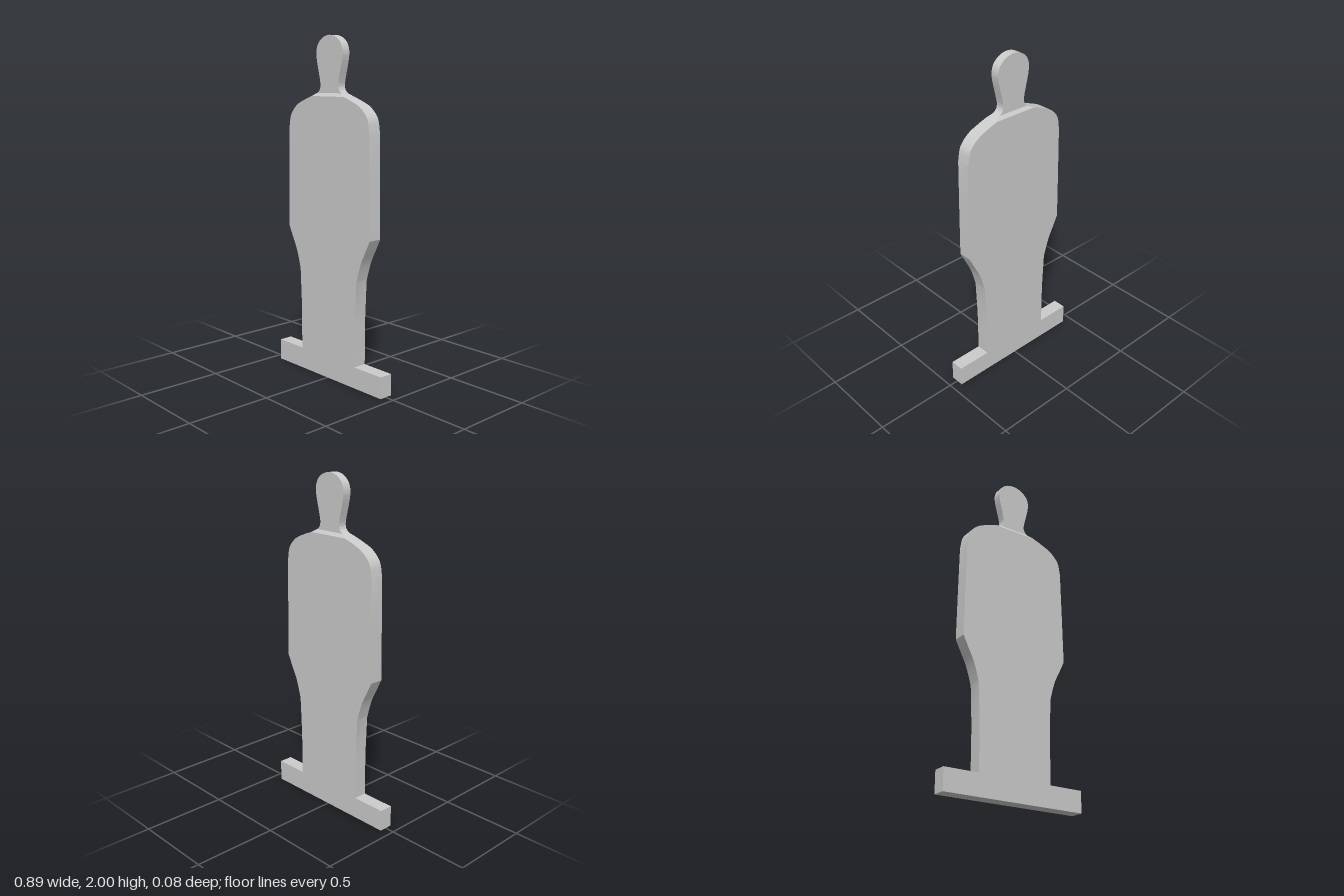
import * as THREE from 'three';
import { toCreasedNormals } from 'three/addons/utils/BufferGeometryUtils.js';

const BODY_DEPTH = 0.041, HEAD_DEPTH = 0.026; // half thicknesses

// Smooth [halfWidth, y] points through the given ones
function smooth(points, count) {
  const curve = new THREE.CatmullRomCurve3(points.map(([x, y]) => new THREE.Vector3(x, y, 0)), false, 'centripetal');
  return curve.getPoints(count).map(p => [Math.max(0, p.x), p.y]);
}

// Stack of rectangles [halfWidth, y, halfDepth], joined by four walls
function loft(name, rows, material, closeBottom = false) {
  const positions = [];
  const corners = ([x, y, z]) => [[x, y, z], [x, y, -z], [-x, y, -z], [-x, y, z]];
  const quad = (a, b, c, d) => positions.push(...a, ...b, ...c, ...a, ...c, ...d);
  for (let i = 0; i < rows.length - 1; i++) {
    const low = corners(rows[i]), high = corners(rows[i + 1]);
    const flatStep = rows[i][1] === rows[i + 1][1];
    for (let k = 0; k < 4; k++) {
      if (flatStep && k % 2 === 1) continue; // no front or back on a ledge
      const n = (k + 1) % 4;
      quad(low[k], low[n], high[n], high[k]);
    }
  }
  if (closeBottom) quad(...corners(rows[0]).reverse());
  const geometry = new THREE.BufferGeometry();
  geometry.setAttribute('position', new THREE.Float32BufferAttribute(positions, 3));
  const mesh = new THREE.Mesh(toCreasedNormals(geometry, 0.4), material);
  mesh.name = name;
  return mesh;
}

export function createModel() {
  const model = new THREE.Group();
  model.name = 'standingFigure';
  const material = new THREE.MeshStandardMaterial({ color: 0xcccccc });
  const withDepth = (points, depth) => points.map(([x, y]) => [x, y, depth]);

  // Foot bar, with ledges running in to the legs
  const base = [[0.443, 0], [0.443, 0.127], [0.232, 0.127]];
  model.add(loft('base', withDepth(base, BODY_DEPTH), material, true));

  // Legs, hips, torso and rounded shoulders
  const body = [
    [0.232, 0.127], [0.233, 0.4],
    ...smooth([[0.243, 0.625], [0.258, 0.68], [0.28, 0.745], [0.315, 0.815], [0.347, 0.88]], 12),
    [0.347, 0.92], [0.343, 1.2],
    ...smooth([[0.338, 1.47], [0.32, 1.55], [0.265, 1.607], [0.2, 1.637], [0.135, 1.66]], 20),
  ];
  model.add(loft('body', withDepth(body, BODY_DEPTH), material));

  // Sloped step from the thick body to the thin head
  model.add(loft('collar', [[0.135, 1.66, BODY_DEPTH], [0.1, 1.679, HEAD_DEPTH]], material));

  // Neck and head
  const head = smooth([
    [0.1, 1.679], [0.082, 1.695], [0.074, 1.72], [0.079, 1.755], [0.095, 1.82], [0.106, 1.87],
    [0.109, 1.91], [0.095, 1.952], [0.065, 1.981], [0.03, 1.996], [0, 2],
  ], 40);
  model.add(loft('head', withDepth(head, HEAD_DEPTH), material));

  return model;
}
